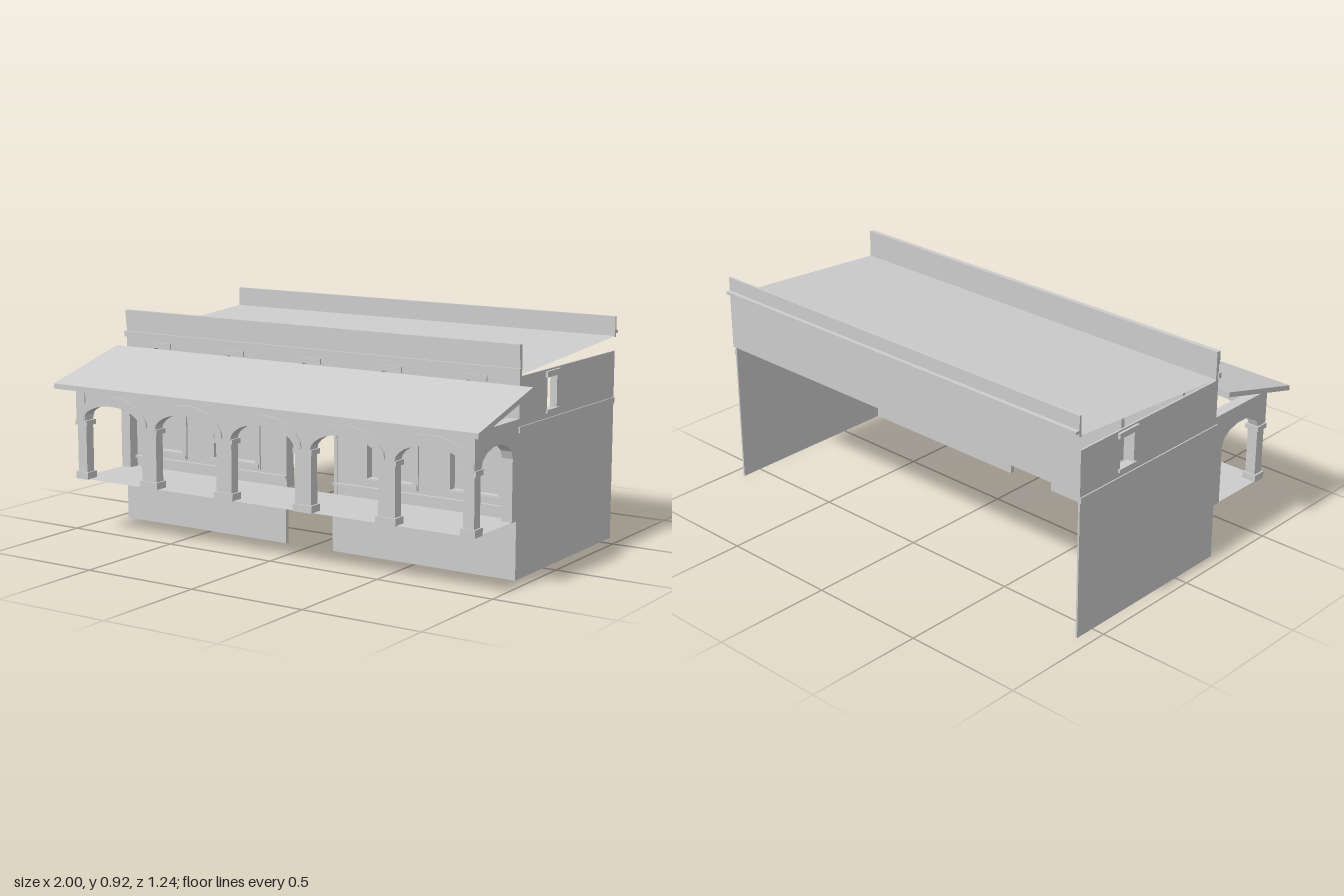
import * as THREE from 'three';

const W = 0.945; // half width of the building
const material = new THREE.MeshStandardMaterial({ color: 0xcccccc, flatShading: true, side: THREE.DoubleSide });
const oneSided = new THREE.MeshStandardMaterial({ color: 0xcccccc });

export function createModel() {
  const model = new THREE.Group();

  const add = (name, geometry, mat = material) => {
    const mesh = new THREE.Mesh(geometry, mat);
    mesh.name = name;
    model.add(mesh);
    return mesh;
  };
  // Box given by its limits on each axis
  const box = (name, x0, x1, y0, y1, z0, z1) => {
    const g = new THREE.BoxGeometry(x1 - x0, y1 - y0, z1 - z0);
    g.translate((x0 + x1) / 2, (y0 + y1) / 2, (z0 + z1) / 2);
    return add(name, g);
  };
  // Points of a half ellipse, from left to right
  const arch = (cx, half, y, rise, n = 12) => Array.from({ length: n + 1 }, (_, i) => {
    const a = Math.PI * (1 - i / n);
    return new THREE.Vector2(cx + half * Math.cos(a), y + rise * Math.sin(a));
  });
  const v = (x, y) => new THREE.Vector2(x, y);
  const rect = (x0, x1, y0, y1) => [v(x0, y0), v(x0, y1), v(x1, y1), v(x1, y0)];
  const slab = (outline, holes, depth) => {
    const shape = new THREE.Shape(outline);
    holes.forEach((h) => shape.holes.push(new THREE.Path(h)));
    return new THREE.ExtrudeGeometry(shape, { depth, bevelEnabled: false });
  };
  // Slab in the xy plane, with its back at z
  const frontSlab = (name, outline, holes, z, depth) =>
    add(name, slab(outline, holes, depth).translate(0, 0, z));
  // Slab drawn in (z, y), with its outer face on the given side
  const sideSlab = (name, outline, holes, side, depth) => {
    const g = slab(outline, holes, depth).rotateY(-Math.PI / 2);
    return add(name, g.translate(side > 0 ? W : -W + depth, 0, 0));
  };

  const bays = [-0.757, -0.378, 0, 0.378, 0.757];
  const windowBays = bays.filter((x) => x !== 0);
  const door = arch(0, 0.115, 0.46, 0.075);
  const niche = (cx, grow = 0) => [
    v(cx - 0.105 - grow, 0.315 - grow),
    ...arch(cx, 0.105 + grow, 0.47, 0.055 + grow),
    v(cx + 0.105 + grow, 0.315 - grow),
  ];

  // Front wall with doorway, arched niches and upper windows
  frontSlab('frontWall',
    [v(-W, 0.23), v(-W, 0.85), v(W, 0.85), v(W, 0.23), v(0.115, 0.23), ...door.slice().reverse(), v(-0.115, 0.23)],
    [...windowBays.map((x) => niche(x)), ...bays.map((x) => rect(x - 0.04, x + 0.04, 0.62, 0.75))],
    0.2, 0.015);
  for (const s of [-1, 1]) {
    const [a, b] = s < 0 ? [-W, -0.115] : [0.115, W];
    frontSlab('basePlinth', rect(a, b, 0, 0.23), [], 0.208, 0.02);
    box('plinthMoulding', a, b, 0.27, 0.28, 0.21, 0.23);
  }

  // Door lining
  frontSlab('doorLining',
    [v(-0.13, 0.23), ...arch(0, 0.13, 0.46, 0.09), v(0.13, 0.23), v(0.115, 0.23), ...door.slice().reverse(), v(-0.115, 0.23)],
    [], 0.17, 0.05);

  // Arched niches: frame, recessed panel and sill
  for (const x of windowBays) {
    frontSlab('nicheFrame', niche(x, 0.025), [niche(x)], 0.18, 0.042);
    frontSlab('nichePanel', niche(x), [], 0.18, 0.005);
    box('nicheSill', x - 0.125, x + 0.125, 0.295, 0.312, 0.21, 0.228);
  }

  // Small upper windows
  for (const x of bays) {
    box('upperWindowPanel', x - 0.04, x + 0.04, 0.62, 0.75, 0.185, 0.19);
    frontSlab('upperWindowReveal', rect(x - 0.046, x + 0.046, 0.614, 0.756), [rect(x - 0.04, x + 0.04, 0.62, 0.75)], 0.185, 0.03);
    box('upperWindowHood', x - 0.05, x + 0.05, 0.75, 0.772, 0.21, 0.222);
    box('upperWindowSill', x - 0.048, x + 0.048, 0.61, 0.622, 0.21, 0.222);
  }

  // Side walls, each with one window and a string course
  for (const s of [1, -1]) {
    const c = s > 0 ? -0.045 : -0.325;
    const opening = rect(c - 0.04, c + 0.04, 0.62, 0.75);
    sideSlab('sideWall', rect(-0.587, 0.215, 0, 0.78), [opening], s, 0.008);
    sideSlab('sideWindowReveal', rect(c - 0.044, c + 0.044, 0.616, 0.754), [opening], s, 0.03);
    const strip = (name, y0, y1, z0, z1, out) =>
      box(name, s > 0 ? W - 0.004 : -W - out, s > 0 ? W + out : -W + 0.004, y0, y1, z0, z1);
    strip('sideWindowHood', 0.75, 0.773, c - 0.056, c + 0.056, 0.01);
    strip('sideWindowSill', 0.61, 0.623, c - 0.05, c + 0.05, 0.008);
    strip('sideStringCourse', 0.567, 0.59, -0.587, 0.22, 0.005);
  }
  box('frontStringCourse', -W, W, 0.567, 0.59, 0.195, 0.222);

  // Main roof, rising towards the back
  const roofGeo = new THREE.PlaneGeometry(2 * W, 0.8).rotateX(-Math.PI / 2);
  const rp = roofGeo.attributes.position;
  for (let i = 0; i < rp.count; i++) {
    const back = rp.getZ(i) < 0;
    rp.setY(i, back ? 0.84 : 0.785);
    rp.setZ(i, back ? -0.587 : 0.21);
  }
  roofGeo.computeVertexNormals();
  add('mainRoof', roofGeo);

  // Parapets and their cornices
  box('frontParapet', -W, W, 0.845, 0.9, 0.2, 0.22);
  box('frontCornice', -W - 0.005, W + 0.005, 0.787, 0.81, 0.21, 0.226);
  box('backParapet', -W, W, 0.835, 0.92, -0.597, -0.587);
  box('backCornice', -W, W, 0.851, 0.863, -0.615, -0.587);
  add('backWallBand', new THREE.PlaneGeometry(2 * W, 0.24).rotateY(Math.PI).translate(0, 0.73, -0.597), oneSided);

  // Porch floor
  add('porchFloor', new THREE.PlaneGeometry(2 * W, 0.33).rotateX(-Math.PI / 2).translate(0, 0.232, 0.38));

  // Arcade columns
  const columns = [-0.92, -0.567, -0.189, 0.189, 0.567, 0.92];
  for (const x of columns) {
    const h = Math.abs(x) > 0.9 ? 0.023 : 0.037;
    const e = h + 0.008;
    box('columnBase', x - e, x + e, 0.23, 0.26, 0.493, 0.55);
    box('columnShaft', x - h, x + h, 0.26, 0.457, 0.5, 0.543);
    box('columnCapital', x - e, x + e, 0.457, 0.478, 0.492, 0.549);
  }

  // Arcade wall, its bottom edge cut by the five arches
  const arcade = [v(W, 0.62), v(-W, 0.62), v(-W, 0.475)];
  bays.forEach((x) => arcade.push(...arch(x, 0.152, 0.475, 0.075)));
  arcade.push(v(W, 0.475));
  frontSlab('arcadeWall', arcade, [], 0.5, 0.043);
  for (const x of bays) {
    frontSlab('archMoulding',
      [...arch(x, 0.185, 0.475, 0.117), ...arch(x, 0.152, 0.475, 0.075).reverse()], [], 0.535, 0.015);
  }

  // Porch ends: a wall pier and a faceted arch
  for (const s of [1, -1]) {
    sideSlab('porchEndArch',
      [v(0.215, 0.23), v(0.215, 0.62), v(0.548, 0.62), v(0.548, 0.475),
        ...arch(0.381, 0.119, 0.475, 0.072, 7).reverse(), v(0.262, 0.23)],
      [], s, 0.046);
  }

  // Sloping porch roof
  const porchRoof = slab([v(0.62, 0.613), v(0.62, 0.634), v(0.215, 0.745), v(0.215, 0.724)], [], 2);
  add('porchRoof', porchRoof.rotateY(-Math.PI / 2).translate(1, 0, 0));

  return model;
}
